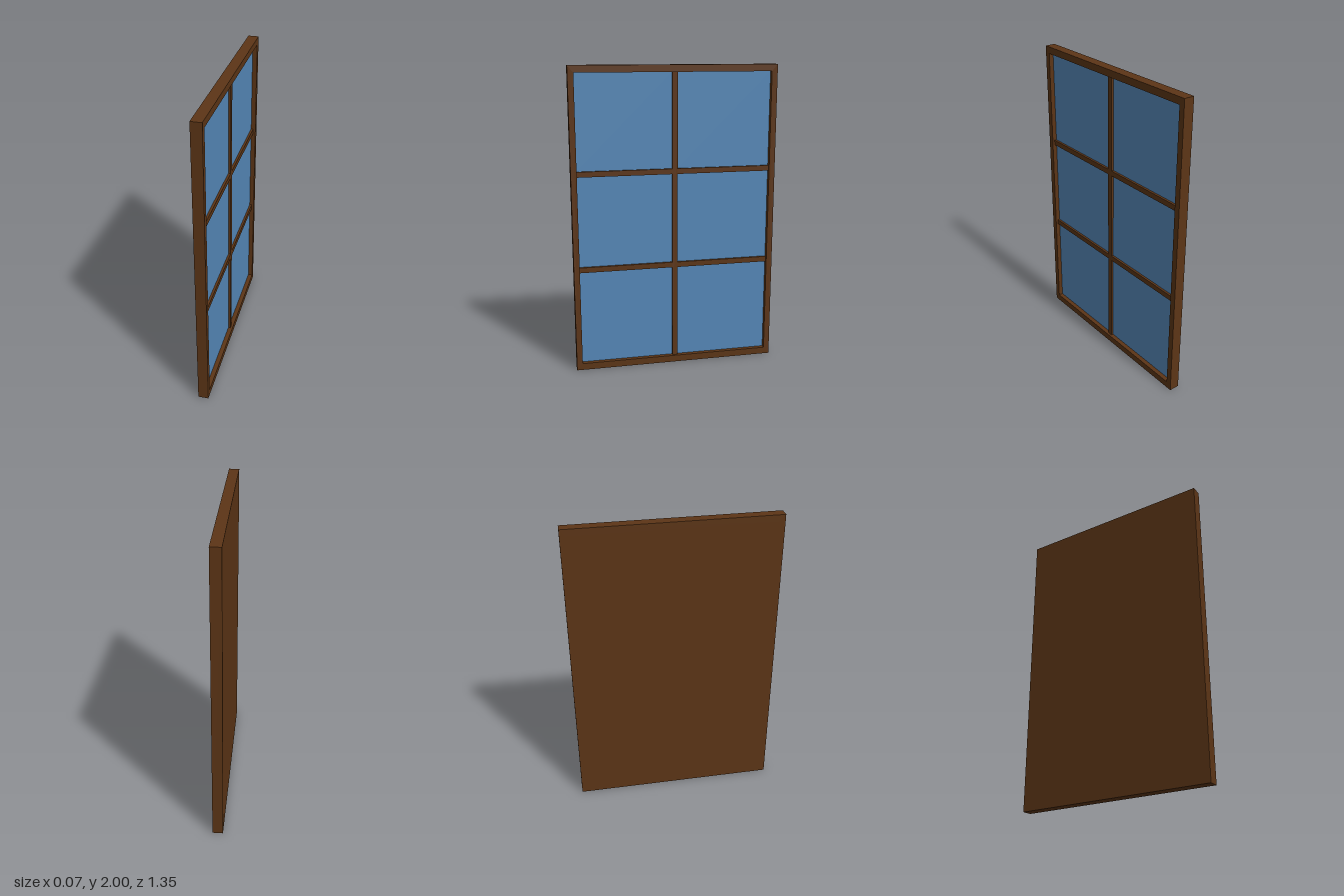
import * as THREE from 'three';

const H = 2, HALF_W = 0.673, HALF_D = 0.034;   // overall height, half width (z), half depth (x)
const STILE = 0.038, RAIL = 0.045, BAR = 0.035; // member widths
const GLASS_X = 0.004, BAR_X = 0.019;           // front planes of the panes and glazing bars

export function createModel() {
  const group = new THREE.Group();
  const wood = new THREE.MeshStandardMaterial({ color: 0x5c3516 });
  const glass = new THREE.MeshStandardMaterial({ color: 0x5588b8 });

  const add = (name, geometry, material) => {
    const mesh = new THREE.Mesh(geometry, material);
    mesh.name = name;
    group.add(mesh);
  };

  // Box given by its extents on each axis
  const box = (name, material, [x0, x1], [y0, y1], [z0, z1]) => {
    const g = new THREE.BoxGeometry(x1 - x0, y1 - y0, z1 - z0);
    g.translate((x0 + x1) / 2, (y0 + y1) / 2, (z0 + z1) / 2);
    add(name, g, material);
  };

  const rect = (target, w, y0, y1) => {
    target.moveTo(-w, y0);
    target.lineTo(w, y0);
    target.lineTo(w, y1);
    target.lineTo(-w, y1);
    target.closePath();
    return target;
  };

  // Outer frame: a rectangular ring extruded through the full depth
  const innerW = HALF_W - STILE, y0 = RAIL, y1 = H - RAIL;
  const ring = rect(new THREE.Shape(), HALF_W, 0, H);
  ring.holes.push(rect(new THREE.Path(), innerW, y0, y1));
  const frame = new THREE.ExtrudeGeometry(ring, { depth: 2 * HALF_D, bevelEnabled: false });
  frame.rotateY(Math.PI / 2).translate(-HALF_D, 0, 0);
  add('outerFrame', frame, wood);

  // Solid backing closing the plain side
  box('backPanel', wood, [-HALF_D, -0.01], [y0, y1], [-innerW, innerW]);

  // Glazing bars: one upright and two crossbars
  const barYs = [0.692, 1.323];
  box('verticalBar', wood, [-0.01, BAR_X], [y0, y1], [-BAR / 2, BAR / 2]);
  for (const y of barYs) {
    for (const [z0, z1] of [[-innerW, -BAR / 2], [BAR / 2, innerW]]) {
      box('crossBar', wood, [-0.01, BAR_X], [y - BAR / 2, y + BAR / 2], [z0, z1]);
    }
  }

  // Six panes between the bars
  const edges = [y0, ...barYs.flatMap((y) => [y - BAR / 2, y + BAR / 2]), y1];
  for (let row = 0; row < 3; row++) {
    for (const [z0, z1] of [[-innerW, -BAR / 2], [BAR / 2, innerW]]) {
      box('glassPane', glass, [-0.01, GLASS_X], [edges[2 * row], edges[2 * row + 1]], [z0, z1]);
    }
  }

  return group;
}
